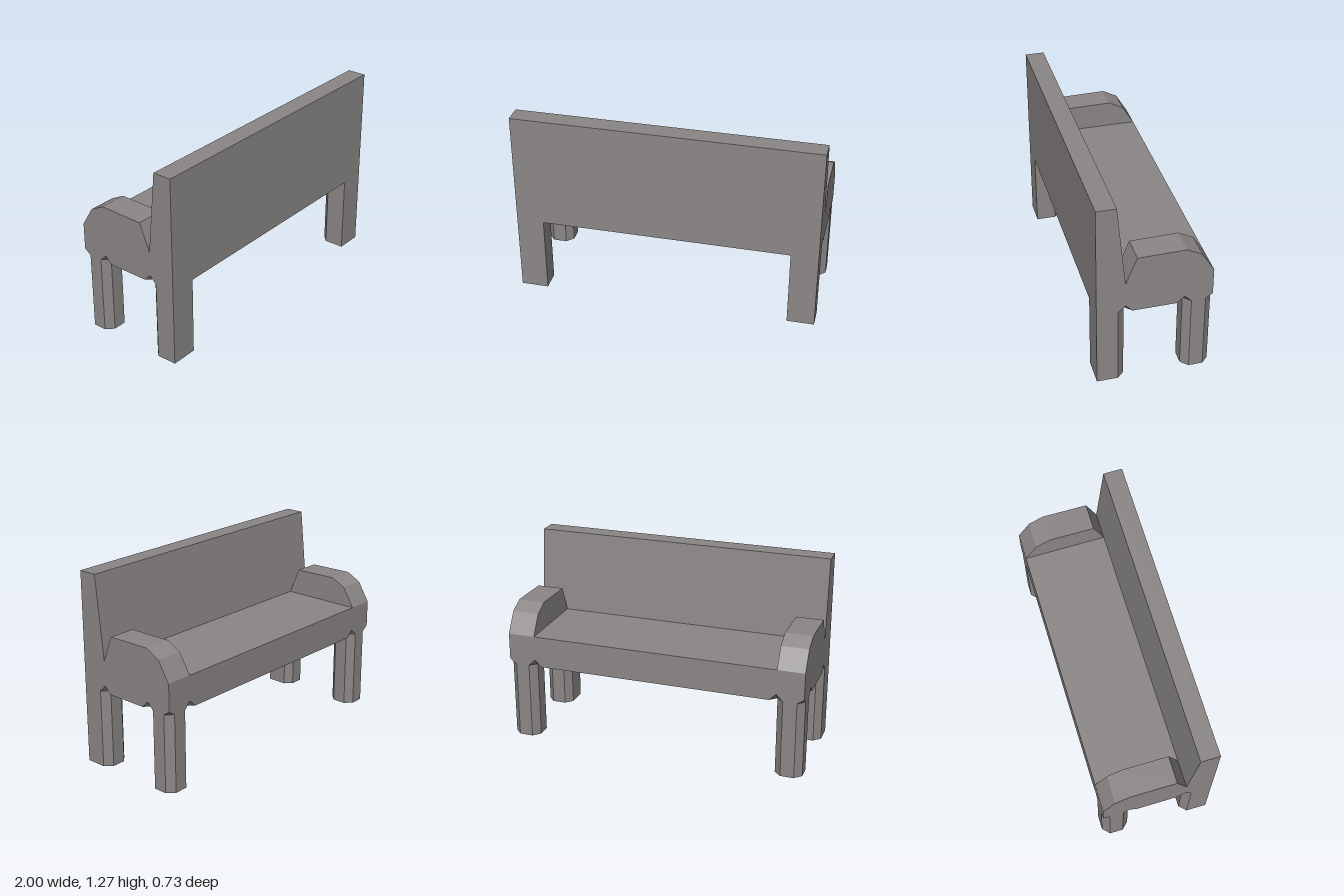
import * as THREE from 'three';

const W = 1, D = 0.365;            // half width, half depth
const UNDER = 0.52, SEAT = 0.73, TOP = 1.275;
const LEG = 0.18, C = 0.045;       // leg thickness, corner chamfer
const IN = W - LEG, LZ = D - LEG;  // inner edges of the legs

const material = new THREE.MeshStandardMaterial({ color: 0x8c8787, flatShading: true });
const shapeOf = (pts) => new THREE.Shape(pts.map(([u, v]) => new THREE.Vector2(u, v)));
const mirrorX = (pts) => pts.map(([x, ...rest]) => [-x, ...rest]);
const bothSides = (pts) => [...pts, ...mirrorX(pts).reverse()];

function add(parent, name, geometry) {
  const mesh = new THREE.Mesh(geometry, material);
  mesh.name = name;
  parent.add(mesh);
  return mesh;
}

// Extrudes a [z, y] profile along x from x0 to x1
function extrudeX(profile, x0, x1) {
  const g = new THREE.ExtrudeGeometry(shapeOf(profile.map(([z, y]) => [-z, y])),
    { depth: x1 - x0, bevelEnabled: false });
  return g.rotateY(Math.PI / 2).translate(x0, 0, 0);
}

// Extrudes an [x, z] outline from the floor to the seat underside
function extrudeUp(outline) {
  const g = new THREE.ExtrudeGeometry(shapeOf(outline), { depth: UNDER, bevelEnabled: false });
  return g.rotateX(Math.PI / 2).translate(0, UNDER, 0);
}

// Small downward-facing triangles where leg chamfers run into the seat
function facets(tris) {
  const g = new THREE.BufferGeometry();
  const flat = tris.flatMap((t) => {
    const [a, b, c] = t.map((p) => new THREE.Vector3(...p));
    const up = b.clone().sub(a).cross(c.clone().sub(a)).y > 0;
    return (up ? [a, c, b] : [a, b, c]).flatMap((p) => p.toArray());
  });
  g.setAttribute('position', new THREE.Float32BufferAttribute(flat, 3));
  g.computeVertexNormals();
  return g;
}

// Bottom edge of a panel with a pointed nick centred on p
const nick = (p) => [[p - C, UNDER], [p, UNDER + C], [p + C, UNDER]];
const CORNER = UNDER + 0.032;

function buildSeat() {
  const seat = new THREE.Group();
  seat.name = 'seat';

  // End panels, drawn as [z, y]
  const end = [[-D, SEAT], [-D, CORNER], [-D + C, UNDER],
    ...nick(-LZ), ...nick(LZ), [D, UNDER], [D, SEAT]];
  add(seat, 'rightEndPanel', new THREE.ShapeGeometry(shapeOf(end))
    .rotateY(-Math.PI / 2).translate(-W, 0, 0));
  add(seat, 'leftEndPanel', new THREE.ShapeGeometry(shapeOf(mirrorX(end)))
    .rotateY(Math.PI / 2).translate(W, 0, 0));

  // Long panels
  const apron = bothSides([...nick(IN), [W - C, UNDER], [W, CORNER], [W, SEAT]]);
  add(seat, 'apron', new THREE.ShapeGeometry(shapeOf(apron))
    .rotateY(Math.PI).translate(0, 0, -D));
  add(seat, 'backPanel', new THREE.PlaneGeometry(2 * W, SEAT - UNDER)
    .translate(0, (SEAT + UNDER) / 2, D));

  // Seat top and notched underside
  add(seat, 'seatTop', new THREE.PlaneGeometry(2 * IN, D + LZ)
    .rotateX(-Math.PI / 2).translate(0, SEAT, (LZ - D) / 2));
  const under = bothSides([
    [IN - C, -D], [IN, -D + C], [IN + C, -D], [W - C, -D], [W, -D + C],
    [W, -LZ - C], [W - C, -LZ], [W, -LZ + C],
    [W, LZ - C], [W - C, LZ], [W, LZ + C], [W, D],
  ]);
  add(seat, 'underside', new THREE.ShapeGeometry(shapeOf(under))
    .rotateX(Math.PI / 2).translate(0, UNDER, 0));

  // Facets inside the notches
  for (const s of [1, -1]) {
    const tris = [[[s * W, CORNER, -D], [s * W, UNDER, -D + C], [s * (W - C), UNDER, -D]]];
    for (const k of [C, -C]) {
      for (const z of [-LZ, LZ]) {
        tris.push([[s * W, UNDER, z + k], [s * W, UNDER + C, z], [s * (W - C), UNDER, z]]);
      }
      tris.push([[s * (IN + k), UNDER, -D], [s * IN, UNDER + C, -D], [s * IN, UNDER, -D + C]]);
    }
    add(seat, 'notchFacets', facets(tris));
  }
  return seat;
}

export function createModel() {
  const bench = new THREE.Group();
  bench.name = 'bench';
  bench.add(buildSeat());

  // Tapered backrest
  add(bench, 'backrest', extrudeX([[D, SEAT], [D, TOP], [0.24, TOP], [LZ, SEAT]], -W, W));

  // Faceted armrests
  const arm = [[LZ, SEAT], [0.115, 0.905], [-0.188, 0.91], [-0.285, 0.86], [-D, SEAT]];
  add(bench, 'leftArmrest', extrudeX(arm, IN, W));
  add(bench, 'rightArmrest', extrudeX(arm, -W, -IN));

  // Legs: octagonal under the open edge, half-chamfered under the backrest
  const octagon = [
    [IN + C, -D], [W - C, -D], [W, -D + C], [W, -LZ - C],
    [W - C, -LZ], [IN + C, -LZ], [IN, -LZ - C], [IN, -D + C],
  ];
  const hexagon = [[IN + C, LZ], [W - C, LZ], [W, LZ + C], [W, D], [IN, D], [IN, LZ + C]];
  for (const [name, outline] of [['seatEdgeLeg', octagon], ['backrestLeg', hexagon]]) {
    add(bench, name, extrudeUp(outline));
    add(bench, name, extrudeUp(mirrorX(outline)));
  }
  return bench;
}
